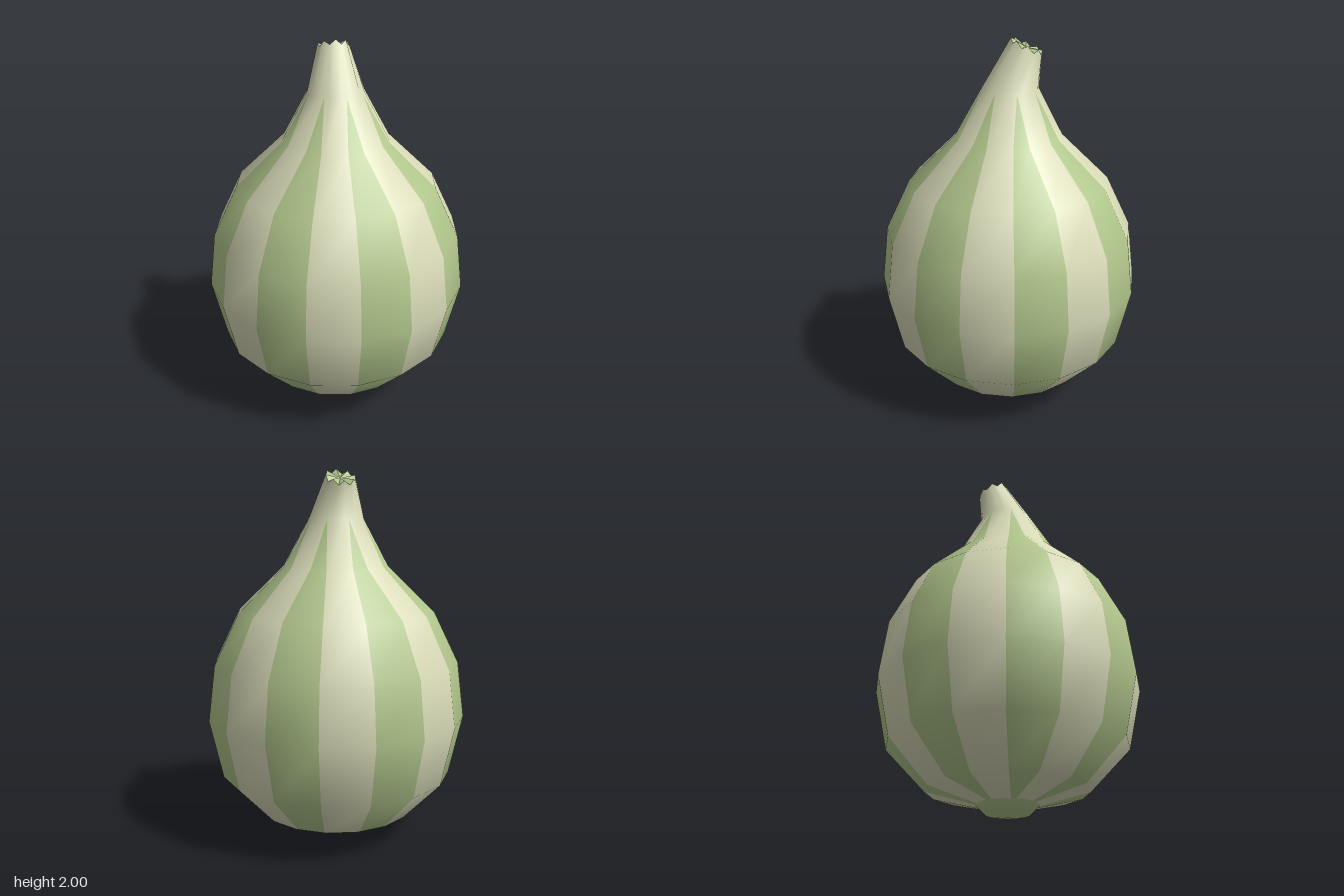
import * as THREE from 'three';

const SIDES = 16;
const cream = new THREE.MeshStandardMaterial({ color: 0xd9dbb8 });
cream.name = 'cream skin';
const green = new THREE.MeshStandardMaterial({ color: 0xb1c68c });
green.name = 'green stripe';

// Body rings: height, radius, sideways lean, stripe start and end across a panel
const RINGS = [
  [0.06, 0.162, 0, 0.3, 0.7],
  [0.13, 0.425, 0, 0.06, 0.94],
  [0.35, 0.635, 0, 0, 1],
  [0.67, 0.707, 0, 0, 1],
  [0.97, 0.67, 0, 0, 1],
  [1.245, 0.537, 0, 0, 1],
  [1.49, 0.285, 0, 0.1, 0.87],
  [1.74, 0.15, -0.005, 0.5, 0.5],
  [1.955, 0.08, -0.065, 0.5, 0.5],
];
const LAST = RINGS.length - 1;

// Point on a ring; the last ring is tilted backwards and notched
function ringPoint(i, j) {
  const [y, r, lean] = RINGS[i];
  const t = (j / SIDES) * Math.PI * 2;
  const dx = r * Math.sin(t), dz = r * Math.cos(t);
  const lift = i === LAST ? 0.42 * (dx + dz) / Math.SQRT2 + (j % 2 ? -0.012 : 0.012) : 0;
  return new THREE.Vector3(lean + dx, y + lift, lean + dz);
}

function makeMesh(name, positions, normals, material) {
  const geo = new THREE.BufferGeometry();
  geo.setAttribute('position', new THREE.Float32BufferAttribute(positions, 3));
  if (normals) geo.setAttribute('normal', new THREE.Float32BufferAttribute(normals, 3));
  else geo.computeVertexNormals();
  const mesh = new THREE.Mesh(geo, material);
  mesh.name = name;
  return mesh;
}

// Coarse grid that supplies the smooth normals of the whole skin
function skinGrid() {
  const pos = [], index = [];
  for (let i = 0; i <= LAST; i++) {
    for (let j = 0; j < SIDES; j++) {
      pos.push(...ringPoint(i, j).toArray());
      if (i === LAST) continue;
      const a = i * SIDES + j, b = i * SIDES + (j + 1) % SIDES;
      index.push(a, b, b + SIDES, a, b + SIDES, a + SIDES);
    }
  }
  const geo = new THREE.BufferGeometry();
  geo.setAttribute('position', new THREE.Float32BufferAttribute(pos, 3));
  geo.setIndex(index);
  geo.computeVertexNormals();
  return geo;
}

export function createModel() {
  const group = new THREE.Group();
  group.name = 'fig';
  const grid = skinGrid();
  const skin = { pos: [], nor: [] }, stripes = { pos: [], nor: [] };

  // Corner at fraction f across panel j of ring i
  const corner = (i, j, f) => ['position', 'normal'].map((key) => {
    const at = (k) => new THREE.Vector3().fromBufferAttribute(
      grid.attributes[key], i * SIDES + k % SIDES);
    return at(j).lerp(at(j + 1), f);
  });
  const addTriangle = (out, a, b, c) => {
    const area = b[0].clone().sub(a[0]).cross(c[0].clone().sub(a[0])).length();
    if (area < 1e-7) return;
    for (const [p, n] of [a, b, c]) {
      out.pos.push(...p.toArray());
      out.nor.push(...n.normalize().toArray());
    }
  };
  // Strip of a panel between two fractions on the lower and upper ring
  const addQuad = (out, i, j, [lo0, lo1], [hi0, hi1]) => {
    const a = corner(i, j, lo0), b = corner(i, j, lo1);
    const c = corner(i + 1, j, hi1), d = corner(i + 1, j, hi0);
    addTriangle(out, a, b, c);
    addTriangle(out, a, c, d);
  };

  // Every other panel carries a tapering stripe
  for (let i = 0; i < LAST; i++) {
    const [, , , a, b] = RINGS[i];
    const [, , , c, d] = RINGS[i + 1];
    for (let j = 0; j < SIDES; j++) {
      if (j % 2 || i === LAST - 1) {
        addQuad(skin, i, j, [0, 1], [0, 1]);
        continue;
      }
      addQuad(skin, i, j, [0, a], [0, c]);
      addQuad(stripes, i, j, [a, b], [c, d]);
      addQuad(skin, i, j, [b, 1], [d, 1]);
    }
  }
  group.add(makeMesh('skin', skin.pos, skin.nor, cream));
  group.add(makeMesh('stripes', stripes.pos, stripes.nor, green));

  // Cut end of the stem
  const cap = [];
  for (let j = 0; j < SIDES; j++) {
    cap.push(-0.063, 1.951, -0.063,
      ...ringPoint(LAST, j).toArray(), ...ringPoint(LAST, j + 1).toArray());
  }
  group.add(makeMesh('stemCut', cap, null, green));

  // Small domed base
  const profile = [[0, 0], [0.12, 0.017], [0.165, 0.062]].map(([r, y]) => new THREE.Vector2(r, y));
  const base = new THREE.Mesh(new THREE.LatheGeometry(profile, SIDES), green);
  base.name = 'base';
  group.add(base);

  return group;
}
